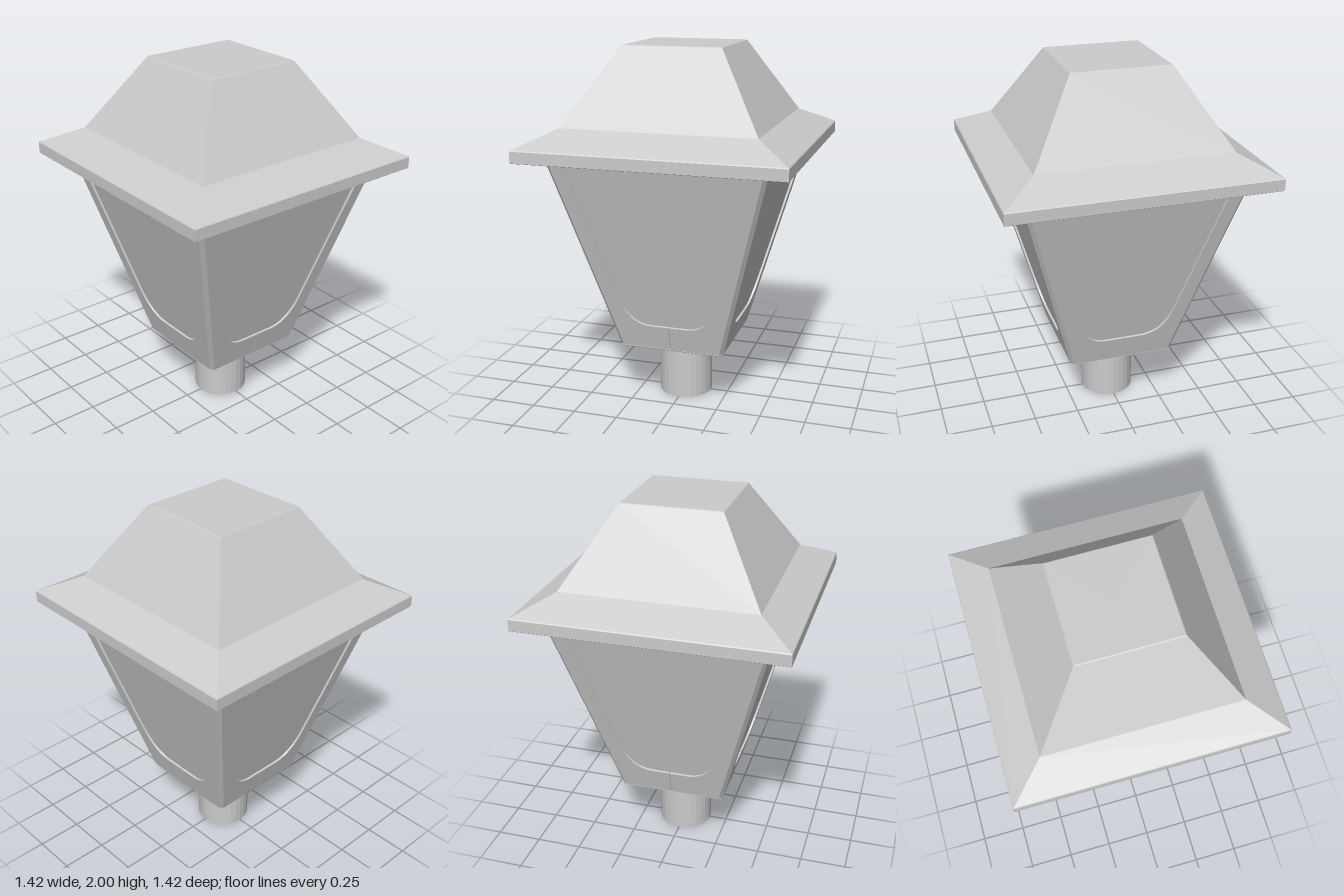
import * as THREE from 'three';

const material = new THREE.MeshStandardMaterial({ color: 0xcccccc, flatShading: true, side: THREE.DoubleSide });

// Tapered body: half width as a function of height
const Y0 = 0.35, Y1 = 1.52, SLOPE = 0.2685, CHAMFER = 0.02;
const half = (y) => 0.295 + (y - Y0) * SLOPE;
const tilt = Math.atan(SLOPE);

function part(name, geometry, parent) {
  const mesh = new THREE.Mesh(geometry, material);
  mesh.name = name;
  parent.add(mesh);
  return mesh;
}

// Square solid from a profile of [half width, height]
function squareLoft(profile) {
  const points = profile.map(([w, y]) => new THREE.Vector2(w * Math.SQRT2, y));
  return new THREE.LatheGeometry(points, 4, Math.PI / 4);
}

// One half of the frame around a pane, lying in the tilted plane of a side
function halfFrame(s) {
  const v = (y) => (y - Y0) / Math.cos(tilt);
  const shape = new THREE.Shape();
  shape.moveTo(s * 0.0015, 0);
  shape.lineTo(s * (half(Y0) - CHAMFER), 0);
  shape.lineTo(s * (half(Y1) - CHAMFER), v(Y1));
  shape.lineTo(s * 0.515, v(Y1));
  shape.lineTo(s * 0.275, v(0.66));
  shape.quadraticCurveTo(s * 0.2275, v(0.49), s * 0.1, v(0.49));
  shape.lineTo(s * 0.0015, v(0.49));
  shape.closePath();
  const depth = 0.02;
  return new THREE.ExtrudeGeometry(shape, { depth, bevelEnabled: false, curveSegments: 12 }).translate(0, 0, -depth);
}

// Chamfered strip joining two neighbouring frames
function cornerStrip() {
  const a = half(Y0), b = half(Y1), c = CHAMFER;
  const geometry = new THREE.BufferGeometry();
  geometry.setAttribute('position', new THREE.Float32BufferAttribute(
    [a - c, Y0, a, a, Y0, a - c, b, Y1, b - c, b - c, Y1, b], 3));
  geometry.setIndex([0, 1, 2, 0, 2, 3]);
  geometry.computeVertexNormals();
  return geometry;
}

export function createModel() {
  const lantern = new THREE.Group();
  lantern.name = 'lanternHead';

  // Hollow mounting pipe
  const pipe = [[0.13, 0.335], [0.13, 0], [0.15, 0], [0.15, 0.34]];
  part('mountingPipe', new THREE.LatheGeometry(pipe.map(([r, y]) => new THREE.Vector2(r, y)), 28), lantern);

  // Base plate with a small bevel
  part('basePlate', squareLoft([[0, 0.335], [0.277, 0.335], [0.288, 0.342], [0.288, 0.352], [0, 0.352]]), lantern);

  // Panes form one tapered core set just behind the frames
  const inset = 0.012;
  part('panes', squareLoft([[0, Y0], [half(Y0) - inset, Y0], [half(Y1) - inset, Y1], [0, Y1]]), lantern);

  // Four framed sides with chamfered corners
  for (let k = 0; k < 4; k++) {
    const side = new THREE.Group();
    side.name = 'side' + (k + 1);
    side.rotation.y = k * Math.PI / 2;
    for (const s of [-1, 1]) {
      const frame = part(s > 0 ? 'leftFrame' : 'rightFrame', halfFrame(s), side);
      frame.position.set(0, Y0, half(Y0));
      frame.rotation.x = tilt;
    }
    part('cornerStrip', cornerStrip(), side);
    lantern.add(side);
  }

  // Roof shell: underside, rim, flared eaves, steep hood and flat top
  part('roof', squareLoft([
    [0, 1.58], [0.515, 1.58], [0.695, 1.49], [0.695, 1.435],
    [0.708, 1.435], [0.71, 1.437], [0.71, 1.497], [0.706, 1.502],
    [0.522, 1.594], [0.27, 1.996], [0.265, 2], [0, 2],
  ]), lantern);

  return lantern;
}
